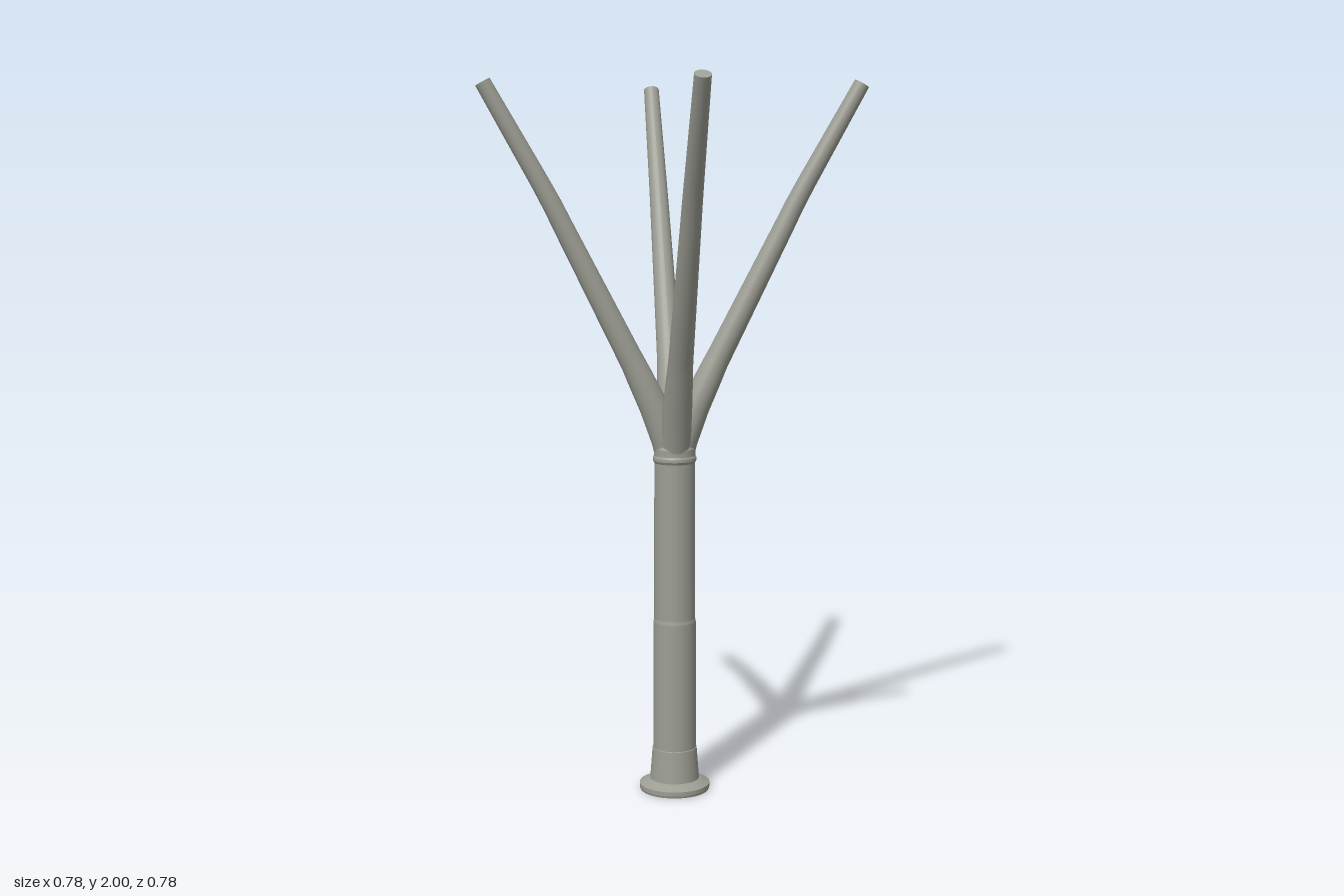
import * as THREE from 'three';

const metal = new THREE.MeshStandardMaterial({ color: 0x9c9d93 });
metal.name = 'grey metal';

// Lathe with hard edges: each profile segment gets its own surface
function addTurned(group, name, profile) {
  const part = new THREE.Group();
  part.name = name;
  for (let i = 0; i < profile.length - 1; i++) {
    const pts = [profile[i], profile[i + 1]].map(([r, y]) => new THREE.Vector2(r, y));
    const mesh = new THREE.Mesh(new THREE.LatheGeometry(pts, 40), metal);
    mesh.name = name + 'Band';
    part.add(mesh);
  }
  group.add(part);
}

// Branch sections: [offset on one axis, height, radius, tilt]
const sections = [
  [0.010, 0.96, 0.040, 0],
  [0.015, 1.00, 0.042, 0.10],
  [0.040, 1.10, 0.041, 0.35],
  [0.070, 1.19, 0.037, 0.40],
  [0.080, 1.22, 0.035, 0.43],
  [0.091, 1.25, 0.034, 0.46],
  [0.216, 1.60, 0.028, 0.47],
  [0.237, 1.66, 0.027, 0.49],
  [0.260, 1.72, 0.026, 0.51],
  [0.368, 1.99, 0.022, 0.51],
];

// Capped cylinder whose rows are moved onto the sections
function branchGeometry() {
  const rows = sections.length - 1;
  const geo = new THREE.CylinderGeometry(1, 1, 1, 32, rows);
  geo.rotateY(-Math.PI / 2);
  const p = geo.attributes.position;
  for (let i = 0; i < p.count; i++) {
    const [c, h, r, t] = sections[Math.round((p.getY(i) + 0.5) * rows)];
    const u = p.getX(i) * r;
    p.setXYZ(i, c * Math.SQRT2 + u * Math.cos(t), h - u * Math.sin(t), p.getZ(i) * r);
  }
  geo.computeVertexNormals();
  return geo;
}

export function createModel() {
  const model = new THREE.Group();
  model.name = 'branchingColumn';

  // Foot flange with bevelled top
  addTurned(model, 'footFlange', [[0, 0], [0.098, 0], [0.1, 0.006], [0.1, 0.018], [0.076, 0.03], [0.07, 0.032]]);
  // Tapered sleeve above the flange
  addTurned(model, 'footSleeve', [[0.07, 0.03], [0.063, 0.122], [0.06, 0.124]]);
  // Shaft, slightly slimmer in its upper half
  addTurned(model, 'shaft', [[0.061, 0.12], [0.06, 0.49], [0.058, 0.5], [0.057, 0.95]]);
  // Collar under the branches
  addTurned(model, 'collar', [[0.057, 0.945], [0.061, 0.952], [0.061, 0.96], [0.058, 0.966],
    [0.058, 0.985], [0.052, 0.997], [0, 1.0]]);

  // Four diagonal branches
  const geo = branchGeometry();
  for (let k = 0; k < 4; k++) {
    const branch = new THREE.Mesh(geo, metal);
    branch.name = 'branch' + (k + 1);
    branch.rotation.y = Math.PI / 4 + k * Math.PI / 2;
    model.add(branch);
  }
  return model;
}
